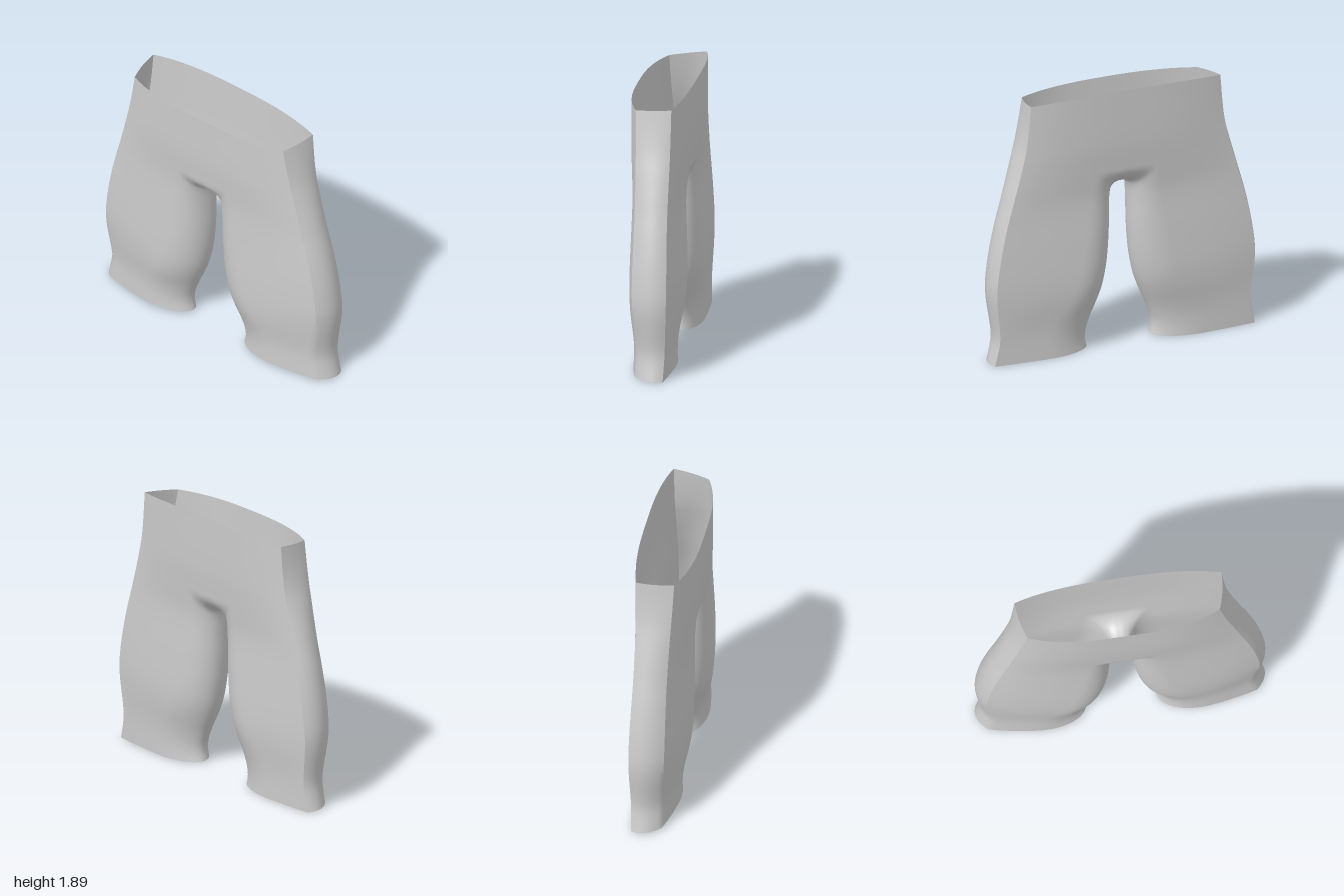
import * as THREE from 'three';
import { mergeGeometries, mergeVertices, toCreasedNormals } from 'three/addons/utils/BufferGeometryUtils.js';

// Smooth lookup through [height, value] pairs sorted by height
function track(pairs) {
  const slope = i => {
    const a = pairs[Math.max(i - 1, 0)], b = pairs[Math.min(i + 1, pairs.length - 1)];
    return (b[1] - a[1]) / (b[0] - a[0]);
  };
  return y => {
    let i = 0;
    while (i < pairs.length - 2 && y > pairs[i + 1][0]) i++;
    const [y0, v0] = pairs[i], [y1, v1] = pairs[i + 1], h = y1 - y0;
    const t = THREE.MathUtils.clamp((y - y0) / h, 0, 1), t2 = t * t, t3 = t2 * t;
    return (2 * t3 - 3 * t2 + 1) * v0 + (t3 - 2 * t2 + t) * h * slope(i)
      + (3 * t2 - 2 * t3) * v1 + (t3 - t2) * h * slope(i + 1);
  };
}

const HEM = 0.012, WAIST = 1.865, CORNER = 0.08;
// Outer silhouette, front and back depth
const outerX = track([[0, 0.99], [0.1, 0.98], [0.2, 0.975], [0.4, 0.995], [0.5, 1], [0.6, 0.995], [0.8, 0.965],
  [1, 0.92], [1.2, 0.86], [1.4, 0.8], [1.57, 0.757], [1.865, 0.715]]);
const frontZ = track([[0, 0.155], [0.2, 0.16], [0.4, 0.185], [0.6, 0.19], [1, 0.18], [1.2, 0.18], [1.5, 0.2], [1.865, 0.205]]);
const backZ = track([[0, -0.16], [0.2, -0.162], [0.4, -0.185], [0.55, -0.19], [0.8, -0.18], [1.1, -0.166],
  [1.3, -0.18], [1.5, -0.195], [1.865, -0.203]]);
// Edges of the side strip: inset from the silhouette, and depth
const frontInset = track([[0, 0.06], [0.2, 0.075], [0.57, 0.055], [1.1, 0.05], [1.5, 0.035], [1.865, 0.05]]);
const backInset = track([[0, 0.005], [0.2, 0.03], [0.57, 0.025], [1.1, 0.025], [1.5, 0.015], [1.865, 0]]);
const frontEdgeZ = track([[0, 0.07], [0.2, 0.07], [0.6, 0.09], [1.2, 0.09], [1.865, 0.11]]);
const backEdgeZ = track([[0, -0.13], [0.2, -0.138], [0.6, -0.152], [1.2, -0.14], [1.865, -0.145]]);

// Inseam from the middle of the crotch down to the hem
const inseam = new THREE.CatmullRomCurve3([[0, 1.18], [0.03, 1.178], [0.06, 1.158], [0.075, 1.11], [0.08, 1], [0.083, 0.8],
  [0.1, 0.6], [0.13, 0.45], [0.165, 0.35], [0.225, 0.21], [0.252, 0.12], [0.253, 0.06], [0.242, HEM]]
  .map(([x, y]) => new THREE.Vector3(x, y, 0)));

const smooth = THREE.MathUtils.smoothstep;
const lerp = THREE.MathUtils.lerp;

// Tilts the waistband and hems
function tilt(x, y, z) {
  const top = smooth(y, 1.4, WAIST) * (0.003 - 0.11 * z - 0.02 * (x / 0.7) ** 2);
  const low = (1 - smooth(y, HEM, 0.4)) * 0.07 * z;
  return [x, y + top + low, z];
}

// Front or back sheet: t runs 0..1 along the waist, then 1..2 down the side; s runs from inseam to outside
function sheet(front) {
  const edgeX = y => outerX(y) - (front ? frontInset(y) : backInset(y));
  return (t, s) => {
    const k = Math.max(t - 1, 0);
    const a = inseam.getPointAt(t < 1 ? t * CORNER : lerp(CORNER, 1, k));
    const oy = lerp(WAIST, HEM, k), ox = edgeX(oy) * Math.min(t, 1);
    const v = s ** 1.8;
    const x = lerp(a.x, ox, v), y = lerp(a.y, oy, v);
    const d = v * Math.hypot(ox - a.x, oy - a.y);
    const radius = lerp(0.13, 0.25, smooth(t, 0.2, 1.3)) + 0.1 * smooth(t, 1.6, 2);
    const round = Math.sqrt(1 - (1 - Math.min(d / radius, 1)) ** 2);
    const e = Math.min(Math.abs(x) / edgeX(y), 1) ** 3;
    const z = front ? lerp(frontZ(y), frontEdgeZ(y), e) : lerp(backZ(y), backEdgeZ(y), e);
    const mid = -0.015;
    return tilt(x, y, mid + (z - mid) * round);
  };
}

// Bulging strip on the outside of the leg
function sideStrip(t, s) {
  const y = lerp(WAIST, HEM, t - 1);
  const fx = outerX(y) - frontInset(y), bx = outerX(y) - backInset(y);
  const bulge = lerp(0.042, 0.012, smooth(y, 1.2, WAIST));
  const x = lerp(fx, bx, s) + bulge * 4 * s * (1 - s);
  return tilt(x, y, lerp(frontEdgeZ(y), backEdgeZ(y), s));
}

// Grid of quads over a surface function
function patch(fn, t0, t1, nt, ns, mirror, flip) {
  const pos = [], index = [];
  for (let i = 0; i <= nt; i++) for (let j = 0; j <= ns; j++) {
    const [x, y, z] = fn(lerp(t0, t1, i / nt), j / ns);
    pos.push(mirror * x, y, z);
    if (i === nt || j === ns) continue;
    const a = i * (ns + 1) + j, b = a + 1, c = a + ns + 1, d = c + 1;
    if (flip !== (mirror < 0)) index.push(a, b, c, b, d, c);
    else index.push(a, c, b, b, c, d);
  }
  const g = new THREE.BufferGeometry();
  g.setAttribute('position', new THREE.Float32BufferAttribute(pos, 3));
  g.setIndex(index);
  return g;
}

export function createModel() {
  const parts = [];
  for (const m of [1, -1]) {
    for (const front of [true, false]) {
      parts.push(patch(sheet(front), 0, 1, 20, 36, m, !front));
      parts.push(patch(sheet(front), 1, 2, 52, 36, m, !front));
    }
    parts.push(patch(sideStrip, 1, 2, 52, 10, m, false));
  }
  const geometry = toCreasedNormals(mergeVertices(mergeGeometries(parts), 1e-4), 0.6);
  const shorts = new THREE.Mesh(geometry, new THREE.MeshStandardMaterial({ color: 0xcccccc, side: THREE.DoubleSide }));
  shorts.name = 'shorts';
  const group = new THREE.Group();
  group.name = 'shortTrousers';
  group.add(shorts);
  return group;
}
